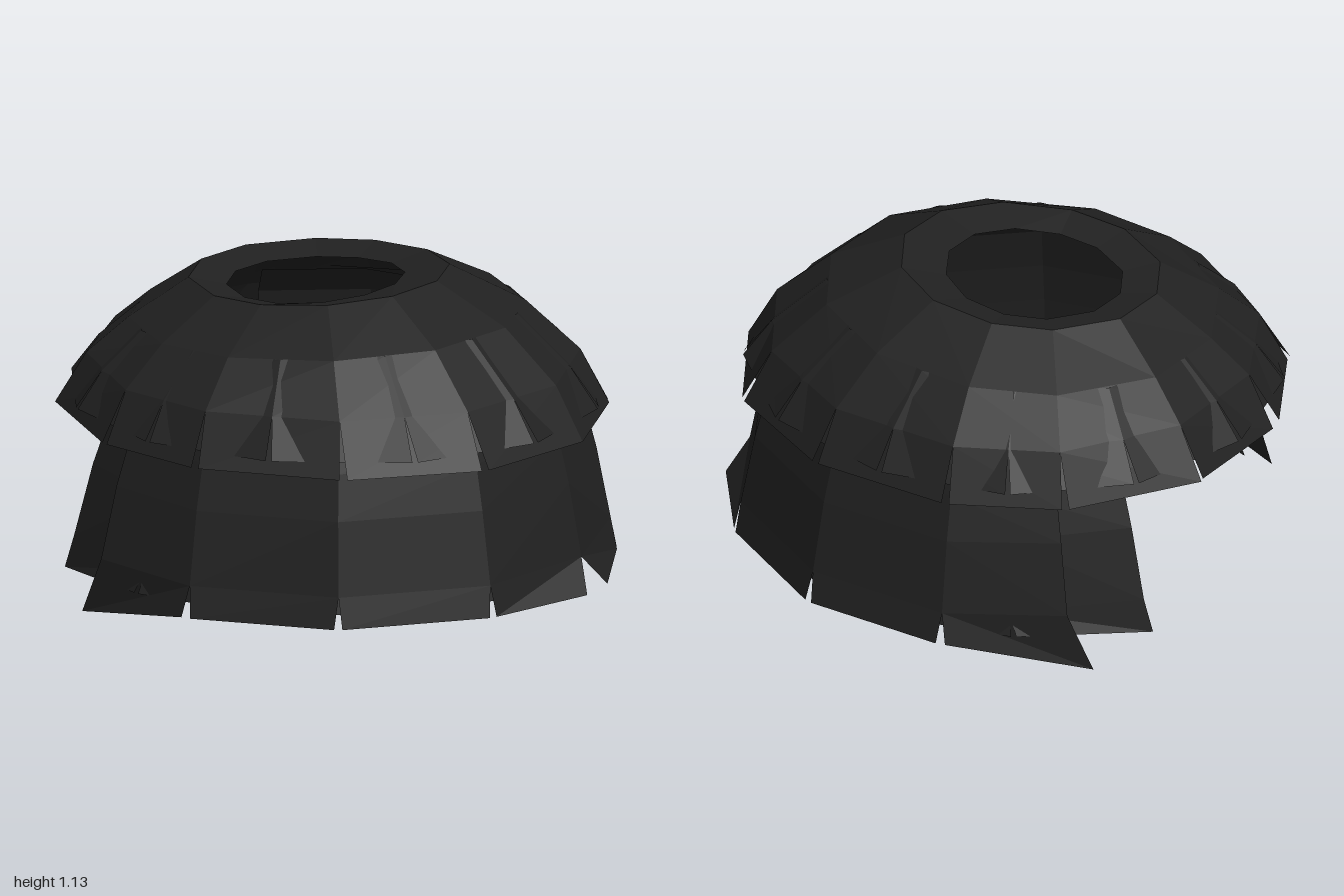
import * as THREE from 'three';

const charcoal = new THREE.MeshStandardMaterial({ color: 0x212121 });
charcoal.name = 'charcoal';
charcoal.flatShading = true;
charcoal.side = THREE.DoubleSide;

const CX = -0.1;

// Cross-sections from top to bottom: mid height, slant, curve, radius to +x, radius to -x, radius in z
const upperRings = [
  [1.06, 0.025, 0.01, 0.305, 0.325, 0.295],
  [1.09, 0.03, 0.01, 0.47, 0.46, 0.42],
  [0.965, 0.035, 0, 0.74, 0.66, 0.66],
  [0.815, 0.005, 0, 0.94, 0.8, 0.825],
  [0.63, 0, 0, 1.045, 0.9, 0.905],
];
const lowerRings = [
  [0.9, 0, 0, 0.79, 0.62, 0.7],
  [0.8, 0, 0, 0.89, 0.68, 0.785],
  [0.63, 0, 0, 0.95, 0.7, 0.845],
  [0.47, 0, 0, 0.99, 0.76, 0.89],
  [0.21, 0, 0, 1.04, 0.835, 0.94],
  [0.1, 0, 0, 1.06, 0.93, 0.965],
];

// Rings of the staggered layer underneath: slightly smaller, ending a little higher
const inset = (rings, scale, bottom) => rings.map(([y, slant, curve, ...radii], i) =>
  [i === rings.length - 1 ? bottom : y, slant, curve, ...radii.map((r) => r * scale)]);
const LOWER_INSET = 0.95;
const upperUnderRings = inset(upperRings.slice(2), 0.975, 0.68);
const lowerUnderRings = inset(lowerRings, LOWER_INSET, 0.13);

const upperAngles = [0, 30, 60, 90, 117, 150, 180];
const upperUnderAngles = [15, 45, 75, 104, 134, 165];
const lowerAngles = [0, 28, 60, 90];
const lowerUnderAngles = [14, 44, 75, 106];

function ringPoint([y, slant, curve, right, left, depth], degrees, side) {
  const a = THREE.MathUtils.degToRad(degrees);
  const c = Math.cos(a);
  return [CX + c * (c > 0 ? right : left), y + slant * c + curve * c * c, side * depth * Math.sin(a)];
}

// One curved panel; its two lowest corners turn by the given angles to leave slits
function panel(name, rings, from, to, turnFrom, turnTo, side, adjust) {
  const points = [];
  rings.forEach((ring, i) => {
    const last = i === rings.length - 1;
    [from + (last ? turnFrom : 0), to + (last ? turnTo : 0)].forEach((angle, j) => {
      const p = ringPoint(ring, angle, side);
      if (adjust) adjust(p, j, last);
      points.push(...p);
    });
  });
  const index = [];
  for (let i = 0; i < rings.length - 1; i++) {
    const a = 2 * i, b = a + 1, d = a + 2, c = a + 3;
    index.push(...(side > 0 ? [a, b, c, a, c, d] : [a, c, b, a, d, c]));
  }
  const geometry = new THREE.BufferGeometry();
  geometry.setAttribute('position', new THREE.Float32BufferAttribute(points, 3));
  geometry.setIndex(index);
  geometry.computeVertexNormals();
  const mesh = new THREE.Mesh(geometry, charcoal);
  mesh.name = name;
  return mesh;
}

export function createModel() {
  const model = new THREE.Group();
  model.name = 'layeredCover';
  const upper = new THREE.Group();
  upper.name = 'upperTier';
  const lower = new THREE.Group();
  lower.name = 'lowerTier';
  model.add(upper, lower);

  // Under panels that bridge the two halves of the upper tier
  upper.add(panel('upperUnderPanel', upperUnderRings, -15, 15, 0.6, -0.6, 1));
  upper.add(panel('upperUnderPanel', upperUnderRings, 165, 195, 0.6, -0.6, 1));

  for (const side of [1, -1]) {
    // Upper tier: a complete ring of panels around the top opening
    for (let k = 0; k < 6; k++) {
      upper.add(panel('upperPanel', upperRings, upperAngles[k], upperAngles[k + 1],
        k === 0 ? 0 : 0.8, k === 5 ? -2 : -0.8, side,
        (p, j, last) => { if (k === 4 && j === 1 && last) p[0] -= 0.015; }));
    }
    for (let k = 0; k < 5; k++) {
      upper.add(panel('upperUnderPanel', upperUnderRings, upperUnderAngles[k], upperUnderAngles[k + 1], 0.6, -0.6, side));
    }

    // Lower tier: panels with a wide notch at +x
    for (let k = 0; k < 3; k++) {
      lower.add(panel('lowerPanel', lowerRings, lowerAngles[k], lowerAngles[k + 1],
        k === 0 ? 4.4 : 0.8, -0.8, side,
        (p, j, last) => { if (k === 0 && j === 0 && last) p[0] += 0.046; }));
      lower.add(panel('lowerUnderPanel', lowerUnderRings, lowerUnderAngles[k], lowerUnderAngles[k + 1], 0.6, -0.6, side));
    }

    // Panel beside the opening, with a long pointed corner
    lower.add(panel('pointedPanel', lowerRings, 90, 120, 1.2, 0, side, (p, j, last) => {
      if (j === 1 && last) { p[0] = -0.605; p[1] = 0; p[2] = side * 0.79; }
    }));

    // Under panel whose outer edge borders the opening
    lower.add(panel('edgePanel', lowerUnderRings, 106, 139, 0.6, 0, side, (p, j, last) => {
      if (j === 1) { p[0] = CX + (p[0] - CX) / LOWER_INSET; p[2] /= LOWER_INSET; }
      if (j === 1 && last) { p[0] = -0.765; p[1] = 0.09; p[2] = side * 0.62; }
    }));
  }
  return model;
}
